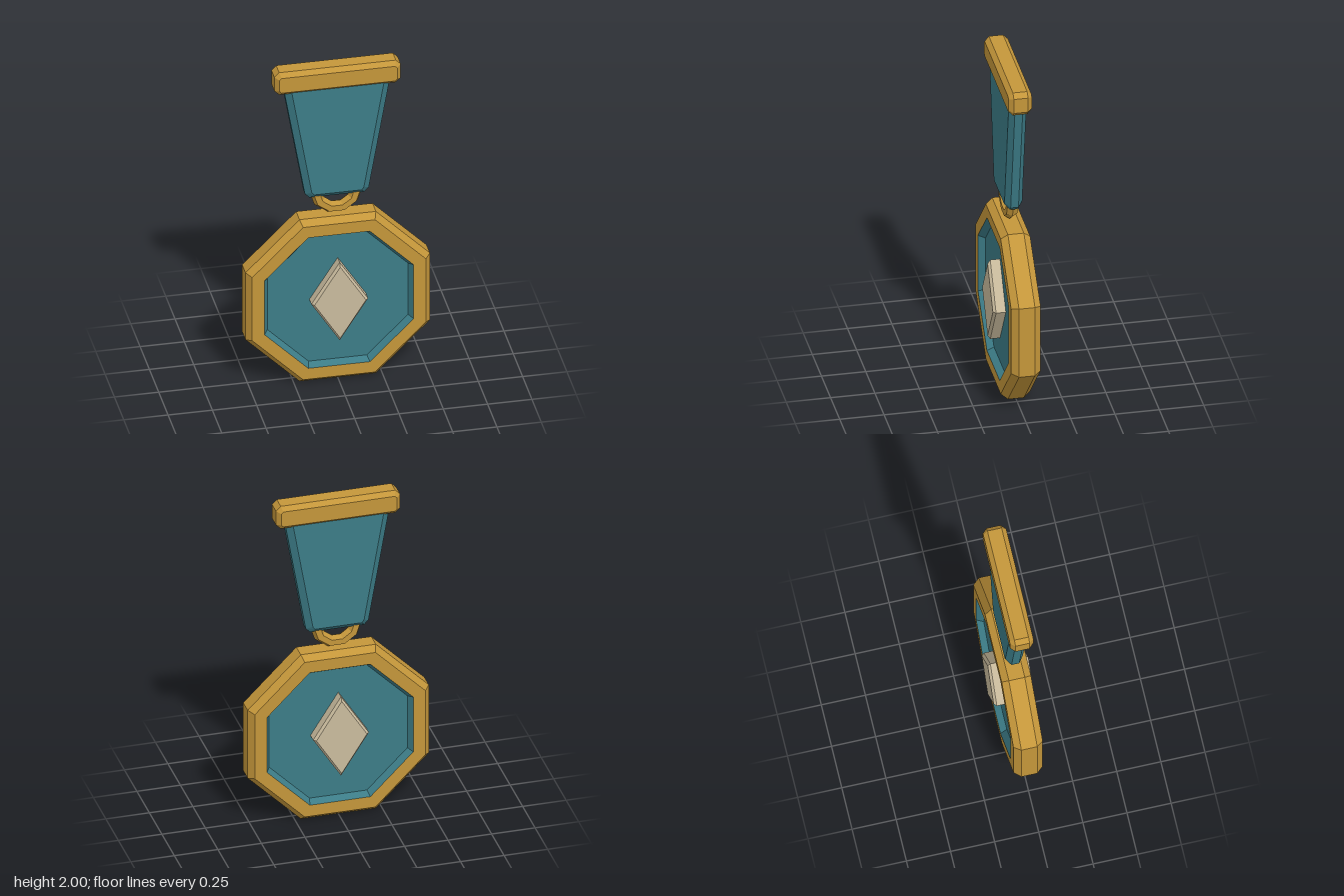
import * as THREE from 'three';

// Joins outlines ([x, y] points, counter-clockwise) from front to back
function loft(rings, caps = true) {
  const pos = [];
  const tri = (...pts) => pts.forEach((p) => pos.push(...p));
  const loops = rings.map(([outline, z]) => outline.map(([x, y]) => [x, y, z]));
  const n = loops[0].length;
  for (let i = 0; i < loops.length - 1; i++) {
    const a = loops[i], b = loops[i + 1];
    for (let j = 0; j < n; j++) {
      const k = (j + 1) % n;
      tri(a[j], b[j], a[k]);
      tri(a[k], b[j], b[k]);
    }
  }
  if (caps) {
    const f = loops[0], b = loops[loops.length - 1];
    for (let j = 1; j < n - 1; j++) {
      tri(f[0], f[j], f[j + 1]);
      tri(b[0], b[j + 1], b[j]);
    }
  }
  const geo = new THREE.BufferGeometry();
  geo.setAttribute('position', new THREE.Float32BufferAttribute(pos, 3));
  geo.computeVertexNormals();
  return geo;
}

// Solid with bevelled front and back edges
const bevelled = (outer, inner, zSide, zFace) =>
  loft([[inner, zFace], [outer, zSide], [outer, -zSide], [inner, -zFace]]);

// Octagon with flat sides, sized by its apothem
const octagon = (apothem) => Array.from({ length: 8 }, (_, i) => {
  const a = Math.PI / 8 + i * Math.PI / 4, r = apothem / Math.cos(Math.PI / 8);
  return [r * Math.cos(a), r * Math.sin(a)];
});

const diamond = (w, h) => [[w, 0], [0, h], [-w, 0], [0, -h]];

// Rectangle with cut corners
const cutRect = (w, h, c) => [
  [w, c - h], [w, h - c], [w - c, h], [c - w, h],
  [-w, h - c], [-w, c - h], [c - w, -h], [w - c, -h],
];

// Tapered ribbon outline with cut lower corners
const ribbonOutline = (top, bottom, cut, yCut, yBottom) => [
  [bottom, yCut], [top, 1.88], [-top, 1.88], [-bottom, yCut], [-cut, yBottom], [cut, yBottom],
];

export function createModel() {
  const group = new THREE.Group();
  const material = (name, color) => {
    const m = new THREE.MeshStandardMaterial({ color });
    m.name = name;
    m.flatShading = true;
    return m;
  };
  const gold = material('gold', 0xc4963a);
  const teal = material('teal', 0x3c7c87);
  const silver = material('silver', 0xc9bb9d);
  const add = (name, geo, mat, y = 0) => {
    const mesh = new THREE.Mesh(geo, mat);
    mesh.name = name;
    mesh.position.y = y;
    group.add(mesh);
  };
  const medalY = 0.523;

  // Medal rim, open in the middle
  const rim = [[0.42, 0.083], [0.49, 0.083], [0.52, 0.045], [0.52, -0.045], [0.49, -0.083], [0.42, -0.083]];
  add('medalRim', loft(rim.map(([r, z]) => [octagon(r), z]), false), gold, medalY);

  // Recessed panel with sloped walls on both faces
  const panel = [[0.397, 0.045], [0.42, 0.083], [0.42, -0.083], [0.397, -0.045]];
  add('medalPanel', loft(panel.map(([r, z]) => [octagon(r), z])), teal, medalY);

  // Diamond emblem showing on both faces
  add('diamond', bevelled(diamond(0.16, 0.25), diamond(0.145, 0.228), 0.1, 0.115), silver, medalY);

  // Hanging ring, its upper half tucked into the ribbon
  add('ring', new THREE.TorusGeometry(0.117, 0.035, 6, 10), gold, 1.193);

  // Ribbon
  add('ribbon', bevelled(
    ribbonOutline(0.3, 0.18, 0.155, 1.19, 1.165),
    ribbonOutline(0.262, 0.147, 0.135, 1.212, 1.195), 0.022, 0.05), teal);

  // Top bar
  add('topBar', bevelled(cutRect(0.356, 0.071, 0.027), cutRect(0.332, 0.047, 0.012), 0.04, 0.066), gold, 1.929);

  return group;
}
